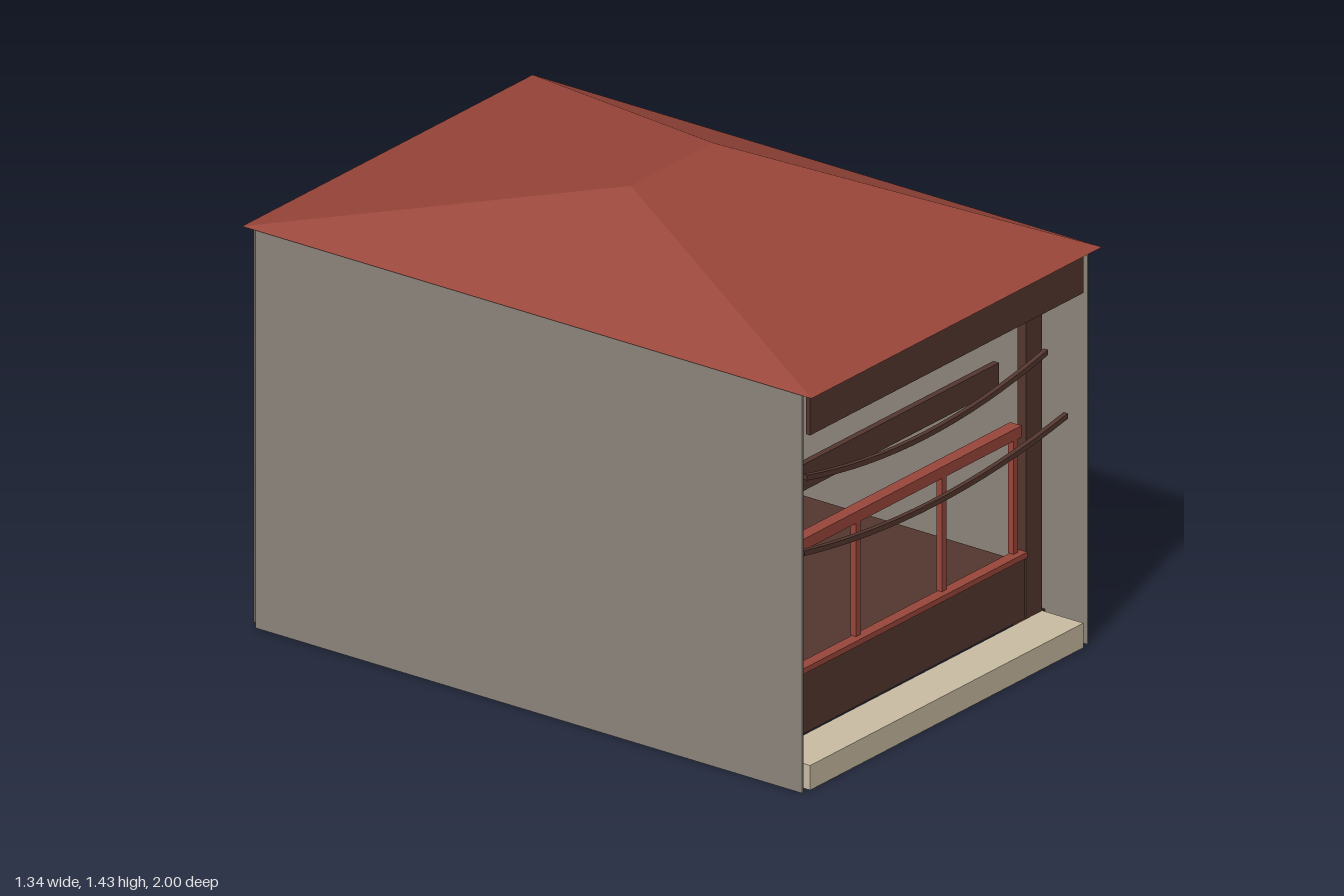
import * as THREE from 'three';

const mat = (name, color) => {
  const m = new THREE.MeshStandardMaterial({ color, side: THREE.DoubleSide });
  m.name = name;
  return m;
};

export function createModel() {
  const red = mat('red', 0x9a463a);
  const brown = mat('dark brown', 0x54372f);
  const grey = mat('wall grey', 0x8c857c);
  const darkGrey = mat('partition grey', 0x4f473e);
  const beige = mat('beige', 0xcabda4);

  const group = new THREE.Group();
  const add = (name, geometry, material) => {
    const mesh = new THREE.Mesh(geometry, material);
    mesh.name = name;
    group.add(mesh);
    return mesh;
  };
  // box given by its limits on each axis
  const box = (name, material, [x0, x1], [y0, y1], [z0, z1]) => {
    const mesh = add(name, new THREE.BoxGeometry(x1 - x0, y1 - y0, z1 - z0), material);
    mesh.position.set((x0 + x1) / 2, (y0 + y1) / 2, (z0 + z1) / 2);
    return mesh;
  };
  // band hanging in a shallow curve across the front
  const saggingBand = (name, material, halfWidth, yEnd, yMid, height, z, depth) => {
    const control = 2 * yMid - yEnd;
    const s = new THREE.Shape();
    s.moveTo(-halfWidth, yEnd);
    s.quadraticCurveTo(0, control, halfWidth, yEnd);
    s.lineTo(halfWidth, yEnd - height);
    s.quadraticCurveTo(0, control - height, -halfWidth, yEnd - height);
    s.closePath();
    const g = new THREE.ExtrudeGeometry(s, { depth, bevelEnabled: false, curveSegments: 16 });
    add(name, g.translate(0, 0, z - depth / 2), material);
  };

  // hipped roof: rectangle at the eaves drawn in to a short ridge
  const e = [[-0.67, 1.215, 1], [0.67, 1.215, 1], [0.67, 1.215, -1], [-0.67, 1.215, -1]];
  const r = [[-0.19, 1.435, 0], [0.19, 1.435, 0]];
  const triangles = [
    e[0], e[1], r[1], e[0], r[1], r[0],
    e[1], e[2], r[1],
    e[2], e[3], r[0], e[2], r[0], r[1],
    e[3], e[0], r[0],
    e[0], e[3], e[2], e[0], e[2], e[1],
  ];
  const roof = new THREE.BufferGeometry();
  roof.setAttribute('position', new THREE.Float32BufferAttribute(triangles.flat(), 3));
  roof.computeVertexNormals();
  add('roof', roof, red);

  // outer walls, with narrow gaps at the back corners
  for (const s of [-1, 1]) {
    const x = s * 0.658;
    box('sideWall', grey, [x - 0.003, x + 0.003], [0, 1.215], [-0.96, 0.96]);
  }
  const back = add('backWall', new THREE.PlaneGeometry(1.272, 1.215), grey);
  back.position.set(0, 0.6075, -0.985);
  back.rotation.y = Math.PI;

  // floor, its side skirts and the front step
  box('floor', brown, [-0.64, 0.64], [0.075, 0.2], [-0.96, 0.8]);
  for (const s of [-1, 1]) {
    const x = s * 0.64;
    box('floorSkirt', brown, [x - 0.004, x + 0.004], [0, 0.075], [-0.96, 0.82]);
  }
  box('frontStep', beige, [-0.63, 0.63], [0, 0.075], [0.82, 0.965]);

  // front frame
  box('header', brown, [-0.63, 0.63], [1.08, 1.213], [0.95, 0.965]);
  box('frontPanel', brown, [-0.555, 0.555], [0.075, 0.263], [0.79, 0.815]);
  for (const s of [-1, 1]) {
    const x = s * 0.5925;
    box('frontPost', brown, [x - 0.0375, x + 0.0375], [0.075, 1.213], [0.79, 0.82]);
  }

  // red railing
  box('railSill', red, [-0.557, 0.557], [0.263, 0.28], [0.79, 0.825]);
  box('topRail', red, [-0.555, 0.555], [0.625, 0.66], [0.765, 0.805]);
  for (const x of [-0.528, -0.198, 0.198, 0.528]) {
    box('railPost', red, [x - 0.01, x + 0.01], [0.28, 0.625], [0.785, 0.805]);
  }

  // sign board and hanging bands
  box('board', brown, [-0.51, 0.51], [0.775, 0.855], [0.74, 0.76]);
  saggingBand('upperBand', brown, 0.555, 0.915, 0.853, 0.016, 0.89, 0.015);
  saggingBand('lowerBand', brown, 0.608, 0.711, 0.655, 0.016, 0.92, 0.015);
  saggingBand('innerBand', darkGrey, 0.42, 1.085, 1.06, 0.042, -0.06, 0.02);

  // inner partition with a red cabinet and pale handles
  box('partition', darkGrey, [-0.65, 0.65], [0.2, 1.213], [-0.11, -0.09]);
  box('cabinet', red, [-0.343, 0.343], [0.2, 0.65], [-0.09, 0.04]);
  for (const x of [-0.345, 0, 0.345]) {
    box('handle', beige, [x - 0.066, x + 0.066], [0.606, 0.616], [0.04, 0.07]);
  }

  return group;
}
